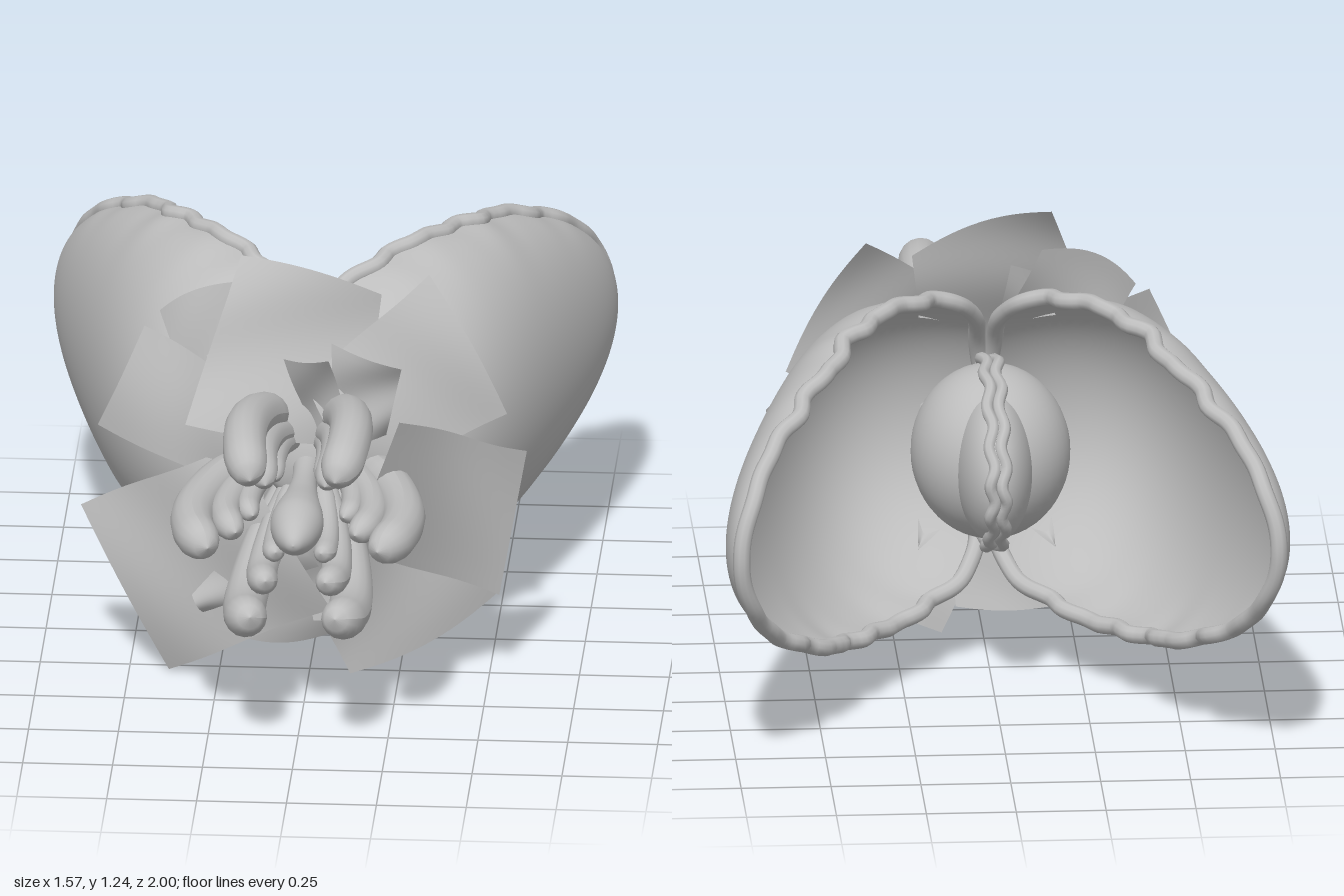
import * as THREE from 'three';

const AXIS_Y = 0.66;
const grey = new THREE.MeshStandardMaterial({ color: 0xbdbdbd, side: THREE.DoubleSide });
grey.name = 'grey';
const V = (x, y, z) => new THREE.Vector3(x, y, z);

function add(parent, name, geometry) {
  const mesh = new THREE.Mesh(geometry, grey);
  mesh.name = name;
  parent.add(mesh);
  return mesh;
}

// Grid surface from a rule f(u, v) -> Vector3
function surface(f, nu, nv) {
  const pos = [], index = [];
  for (let i = 0; i <= nu; i++) {
    for (let j = 0; j <= nv; j++) {
      pos.push(...f(i / nu, j / nv).toArray());
      if (i < nu && j < nv) {
        const a = i * (nv + 1) + j, b = a + nv + 1;
        index.push(a, a + 1, b, b, a + 1, b + 1);
      }
    }
  }
  const g = new THREE.BufferGeometry();
  g.setAttribute('position', new THREE.Float32BufferAttribute(pos, 3));
  g.setIndex(index);
  g.computeVertexNormals();
  return g;
}

// Tube whose radius follows taper(t)
function taperedTube(points, radius, taper) {
  const curve = new THREE.CatmullRomCurve3(points), seg = 40, sides = 16;
  const g = new THREE.TubeGeometry(curve, seg, radius, sides);
  const p = g.attributes.position, q = V(0, 0, 0);
  for (let i = 0; i <= seg; i++) {
    const c = curve.getPointAt(i / seg);
    for (let j = 0; j <= sides; j++) {
      const k = i * (sides + 1) + j;
      q.fromBufferAttribute(p, k).sub(c).multiplyScalar(taper(i / seg)).add(c);
      p.setXYZ(k, q.x, q.y, q.z);
    }
  }
  g.computeVertexNormals();
  return g;
}

const bell = (s, centre, width) => Math.exp(-(((s - centre) / width) ** 2));

// Point on an egg-shaped half shell: phi runs hinge to tip, w runs top edge to bottom edge
function shellPoint(side, phi, w) {
  const c = Math.cos(phi), sn = Math.abs(Math.sin(phi)), s = (1 - c) / 2;
  const height = sn * (0.446 + 0.115 * c + 0.055 * c * c);
  const depth = sn * (0.305 + 0.19 * c + 0.08 * c * c);
  const edge = (1 - Math.sin(w)) ** 2;
  const sway = 0.025 * bell(s, 0.47, 0.1) - 0.06 * bell(s, 0.13, 0.1);
  const ripple = sn * (0.01 * Math.sin(s * 38) + 0.008 * Math.sin(s * 63));
  const out = depth * Math.sin(w) + sway * edge + ripple * edge * edge;
  return V(
    side * Math.max(0.012, 0.735 * s + 0.853 * out + 0.012),
    AXIS_Y + height * Math.cos(w) * (1 + 0.008 * edge * Math.sin(s * 40)),
    0.24 - 1.215 * s + 0.522 * out
  );
}

function buildShell(side) {
  const g = new THREE.Group();
  g.name = side > 0 ? 'leftShell' : 'rightShell';
  add(g, 'shellBowl', surface((u, v) => shellPoint(side, u * Math.PI, v * Math.PI), 90, 40));
  const rim = [];
  for (let i = 0; i < 120; i++) {
    const a = (i / 120) * Math.PI * 2;
    rim.push(a <= Math.PI ? shellPoint(side, a, 0) : shellPoint(side, 2 * Math.PI - a, Math.PI));
  }
  add(g, 'shellRim', new THREE.TubeGeometry(new THREE.CatmullRomCurve3(rim, true), 240, 0.024, 10, true));
  return g;
}

// Two-lobed kernel with a wavy double seam around its egg-shaped outline
function buildKernel() {
  const g = new THREE.Group();
  g.name = 'kernel';
  const lobe = (name, size, z) => {
    const m = add(g, name, new THREE.SphereGeometry(1, 40, 28));
    m.scale.set(...size);
    m.position.set(0, AXIS_Y, z);
  };
  lobe('kernelBody', [0.222, 0.245, 0.245], -0.055);
  lobe('kernelTip', [0.108, 0.205, 0.25], -0.195);
  for (const side of [-1, 1]) {
    const pts = [];
    for (let i = 0; i < 90; i++) {
      const a = (i / 90) * Math.PI * 2, c = Math.cos(a);
      const r = 1 + 0.012 * Math.sin(a * 11 + side);
      pts.push(V(side * 0.016 + 0.007 * Math.sin(a * 13), AXIS_Y + (0.25 + 0.05 * c) * r * Math.sin(a), -0.125 + 0.32 * r * c));
    }
    add(g, 'kernelSeam', new THREE.TubeGeometry(new THREE.CatmullRomCurve3(pts, true), 180, 0.017, 8, true));
  }
  return g;
}

// Six spokes of curled filaments in three sizes
function buildFilaments() {
  const g = new THREE.Group();
  g.name = 'filaments';
  const rows = [
    { r: 0.06, path: [[0.12, 0.3], [0.2, 0.42], [0.262, 0.57], [0.293, 0.74], [0.28, 0.88], [0.235, 1.0]] },
    { r: 0.043, path: [[0.08, 0.3], [0.14, 0.43], [0.19, 0.58], [0.205, 0.72], [0.19, 0.81], [0.165, 0.88]] },
    { r: 0.032, path: [[0.06, 0.3], [0.1, 0.4], [0.135, 0.53], [0.145, 0.64], [0.14, 0.71], [0.125, 0.75]] }
  ];
  const taper = t => Math.min(1, 0.75 + t) * Math.sqrt(Math.max(0, 1 - Math.max(0, (t - 0.86) / 0.14) ** 2));
  for (let k = 0; k < 6; k++) {
    const a = (k * Math.PI) / 3;
    for (const row of rows) {
      const pts = row.path.map(([r, z]) => V(r * Math.cos(a), AXIS_Y + r * Math.sin(a), z));
      add(g, 'filament', taperedTube(pts, row.r, taper));
    }
  }
  return g;
}

// Curved four-cornered petal; corners in order, bow swells its outer edge
function petal([a, b, c, d], bulge, bow) {
  return surface((u, v) => {
    const p = V(...a).lerp(V(...b), u).lerp(V(...d).lerp(V(...c), u), v);
    const swell = 1 + bow * Math.sin(u * Math.PI) * (1 - v);
    p.x *= swell;
    p.y = AXIS_Y + (p.y - AXIS_Y) * swell;
    p.z += bulge * Math.sin(u * Math.PI) * (0.5 + 0.5 * v) + 0.012 * Math.sin(v * 7 + u * 3);
    return p;
  }, 14, 14);
}

export function createModel() {
  const model = new THREE.Group();
  model.name = 'shellFlower';
  model.add(buildShell(1), buildShell(-1), buildKernel(), buildFilaments());

  // Central pistil with a rounded head, and the base that carries the petals
  const profile = (pts) => new THREE.LatheGeometry(
    new THREE.SplineCurve(pts.map(([r, z]) => new THREE.Vector2(r, z))).getPoints(48), 32);
  const pistil = add(model, 'pistil', profile([[0.05, 0.25], [0.035, 0.45], [0.045, 0.6], [0.068, 0.74], [0.073, 0.82], [0.055, 0.9], [0.025, 0.955], [0, 0.97]]));
  const base = add(model, 'flowerBase', profile([[0, 0.21], [0.06, 0.23], [0.12, 0.3], [0.1, 0.37], [0, 0.4]]));
  for (const m of [pistil, base]) {
    m.rotation.x = Math.PI / 2;
    m.position.y = AXIS_Y;
  }

  // Large outer petals: two outer corners, two inner corners, and the edge swell
  const outer = [
    [[[-0.19, 1.245, 0.27], [0.2, 1.13, 0.25], [0.15, 0.72, 0.37], [-0.33, 0.83, 0.5]], 0.05],
    [[[0.33, 1.18, 0.22], [0.55, 0.79, 0.27], [0.16, 0.62, 0.42], [0.0, 0.93, 0.42]], 0.03],
    [[[-0.59, 0.72, 0.25], [-0.46, 1.02, 0.25], [-0.1, 0.86, 0.38], [-0.12, 0.56, 0.42]], 0],
    [[[-0.42, 1.05, 0.21], [-0.16, 1.15, 0.22], [0, 0.8, 0.33], [-0.25, 0.66, 0.35]], 0.07],
    [[[0.605, 0.68, 0.27], [0.53, 0.26, 0.3], [0.12, 0.45, 0.44], [0.27, 0.88, 0.57]], 0],
    [[[-0.39, 0.005, 0.28], [-0.64, 0.46, 0.2], [-0.2, 0.72, 0.38], [0.08, 0.31, 0.555]], 0],
    [[[0.53, 0.25, 0.24], [0.115, 0.01, 0.29], [-0.08, 0.42, 0.38], [0.2, 0.62, 0.38]], 0.04],
    [[[0.08, 0.11, 0.22], [-0.24, 0.11, 0.24], [-0.18, 0.52, 0.36], [0.1, 0.52, 0.36]], 0.05]
  ];
  for (const [corners, bow] of outer) add(model, 'outerPetal', petal(corners, 0.03, bow));

  // Smaller petals around the filaments
  const inner = [
    [[-0.06, 1.01, 0.45], [0.07, 1.04, 0.53], [0.14, 0.74, 0.4], [0.03, 0.74, 0.4]],
    [[0.07, 1.04, 0.4], [0.27, 1.0, 0.48], [0.22, 0.76, 0.4], [0.08, 0.74, 0.4]],
    [[-0.28, 0.98, 0.36], [-0.08, 1.07, 0.33], [-0.02, 0.76, 0.42], [-0.17, 0.74, 0.44]],
    [[-0.32, 0.48, 0.42], [-0.32, 0.53, 0.48], [-0.12, 0.6, 0.42], [-0.1, 0.48, 0.42]],
    [[-0.29, 0.21, 0.36], [-0.32, 0.27, 0.38], [-0.08, 0.55, 0.42], [0.04, 0.4, 0.46]],
    [[0.18, 0.23, 0.36], [0.02, 0.21, 0.4], [-0.04, 0.5, 0.43], [0.12, 0.52, 0.42]],
    [[0.4, 0.62, 0.36], [0.34, 0.45, 0.36], [0.1, 0.56, 0.42], [0.14, 0.7, 0.42]]
  ];
  for (const corners of inner) add(model, 'innerPetal', petal(corners, 0.02, 0));

  // Pointed sepals folded back over the shells
  for (const sx of [-1, 1]) {
    for (const sy of [-1, 1]) {
      add(model, 'sepal', surface((u, v) => {
        const across = v * 2 - 1;
        const width = 0.06 * Math.sin(Math.PI * (0.25 + 0.75 * u)) * across;
        const r = 0.08 + 0.26 * u + 0.04 * Math.sin(Math.PI * u);
        return V(sx * (0.05 + 0.14 * u + width), AXIS_Y + sy * r, 0.33 - 0.21 * u + 0.03 * Math.sin(Math.PI * u) - 0.02 * across * across);
      }, 14, 8));
    }
  }
  return model;
}
